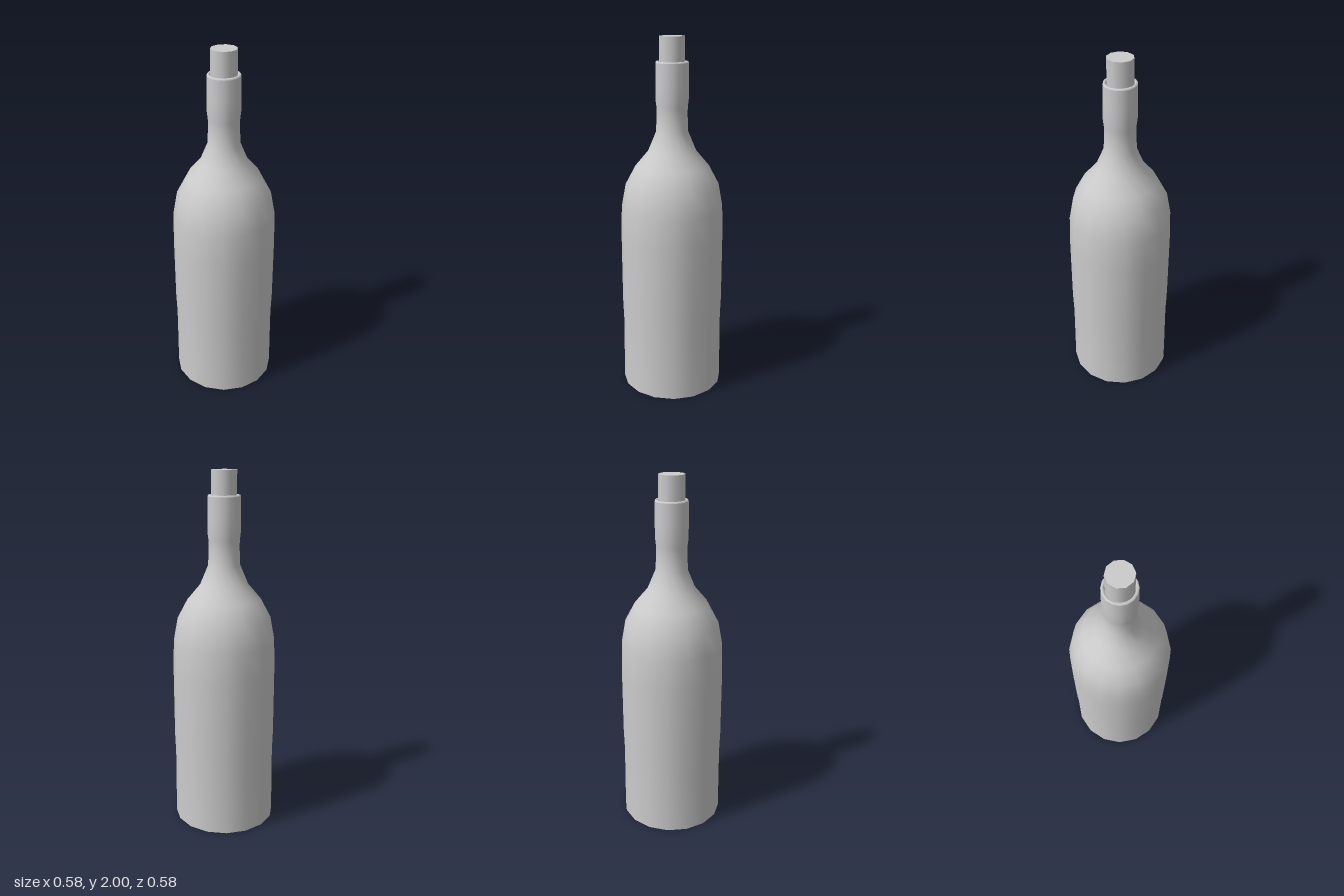
import * as THREE from 'three';

const grey = new THREE.MeshStandardMaterial({ color: 0xcccccc, side: THREE.DoubleSide });
const SIDES = 16;

function lathe(name, points) {
  const profile = points.map(([r, y]) => new THREE.Vector2(r, y));
  const mesh = new THREE.Mesh(new THREE.LatheGeometry(profile, SIDES), grey);
  mesh.name = name;
  return mesh;
}

export function createModel() {
  const group = new THREE.Group();
  group.name = 'corkedBottle';

  // Straight sides, rounded shoulder and neck
  group.add(lathe('bottleBody', [
    [0.289, 0], [0.287, 0.12], [0.285, 0.38], [0.289, 0.5], [0.289, 0.9],
    [0.284, 1.07], [0.26, 1.2], [0.204, 1.305], [0.132, 1.39],
    [0.088, 1.495], [0.084, 1.59], [0.085, 1.63], [0.09, 1.67], [0.09, 1.75], [0.089, 1.862],
  ]));

  // Bevelled lip and the short inner wall of the mouth
  group.add(lathe('lip', [[0.089, 1.862], [0.086, 1.87], [0.076, 1.87], [0.073, 1.862], [0.072, 1.7]]));

  // Flat base
  const base = new THREE.Mesh(new THREE.CircleGeometry(0.289, SIDES), grey);
  base.name = 'base';
  base.rotation.x = Math.PI / 2;
  group.add(base);

  // Ten-sided cork standing out of the mouth
  const corkGeometry = new THREE.CylinderGeometry(0.0705, 0.0705, 0.3, 10, 1, false, Math.PI / 2);
  const cork = new THREE.Mesh(corkGeometry, grey);
  cork.name = 'cork';
  cork.position.y = 1.85;
  group.add(cork);

  return group;
}
